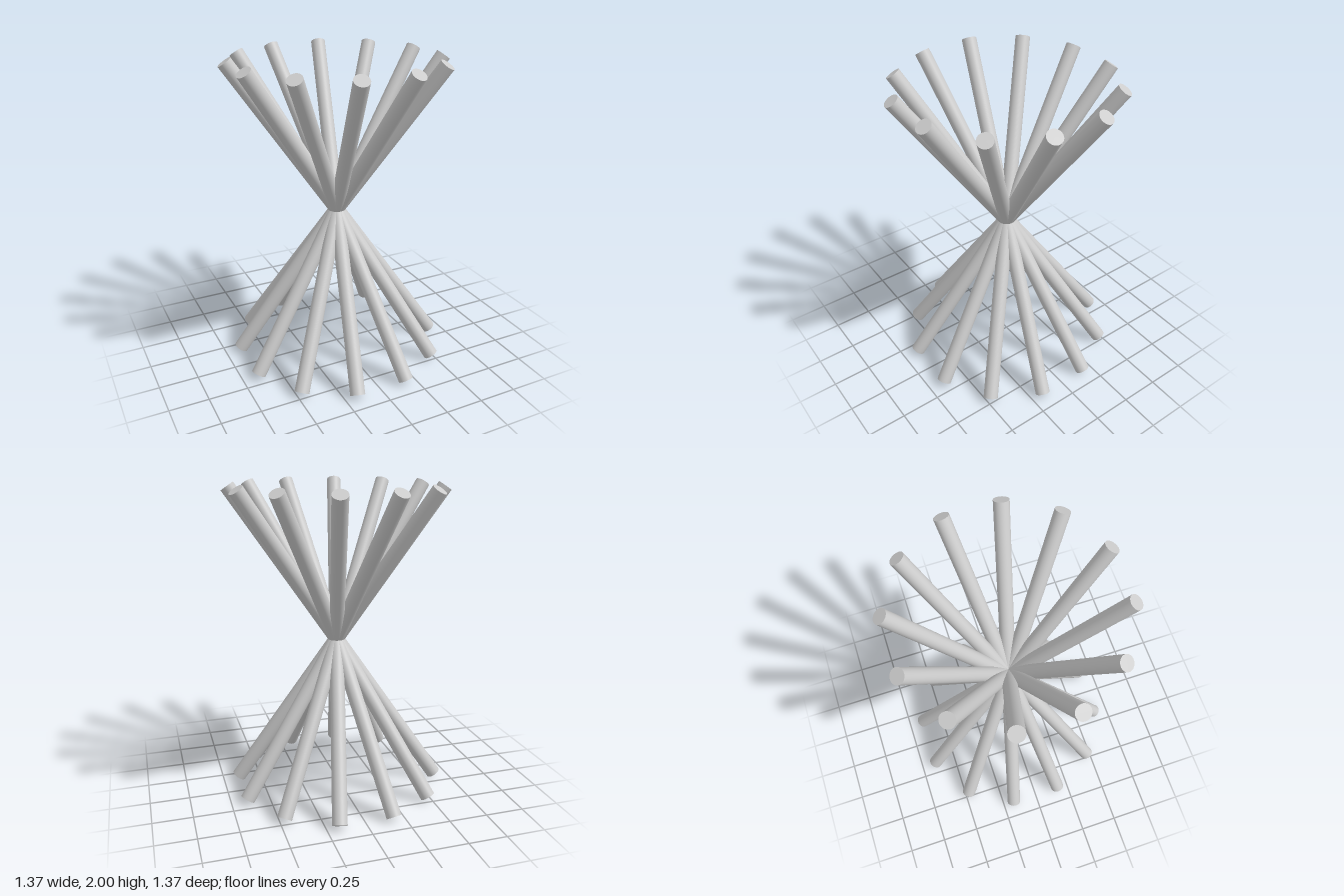
import * as THREE from 'three';

// Twelve slanted rods crossing at one central point, spreading into two cones.
export function createModel() {
  const group = new THREE.Group();
  const material = new THREE.MeshStandardMaterial({ color: 0xcccccc });

  const count = 12;
  const radius = 0.047;
  const spread = 0.669; // horizontal reach of each rod end
  const rise = 0.973;   // vertical reach of each rod end
  const rod = new THREE.CylinderGeometry(radius, radius, 2 * Math.hypot(spread, rise), 48);
  const up = new THREE.Vector3(0, 1, 0);

  for (let i = 0; i < count; i++) {
    const angle = ((i + 0.5) / count) * Math.PI * 2;
    const direction = new THREE.Vector3(
      spread * Math.cos(angle), rise, spread * Math.sin(angle)).normalize();
    const mesh = new THREE.Mesh(rod, material);
    mesh.name = `rod${i + 1}`;
    mesh.quaternion.setFromUnitVectors(up, direction);
    mesh.position.y = 1;
    group.add(mesh);
  }
  return group;
}
